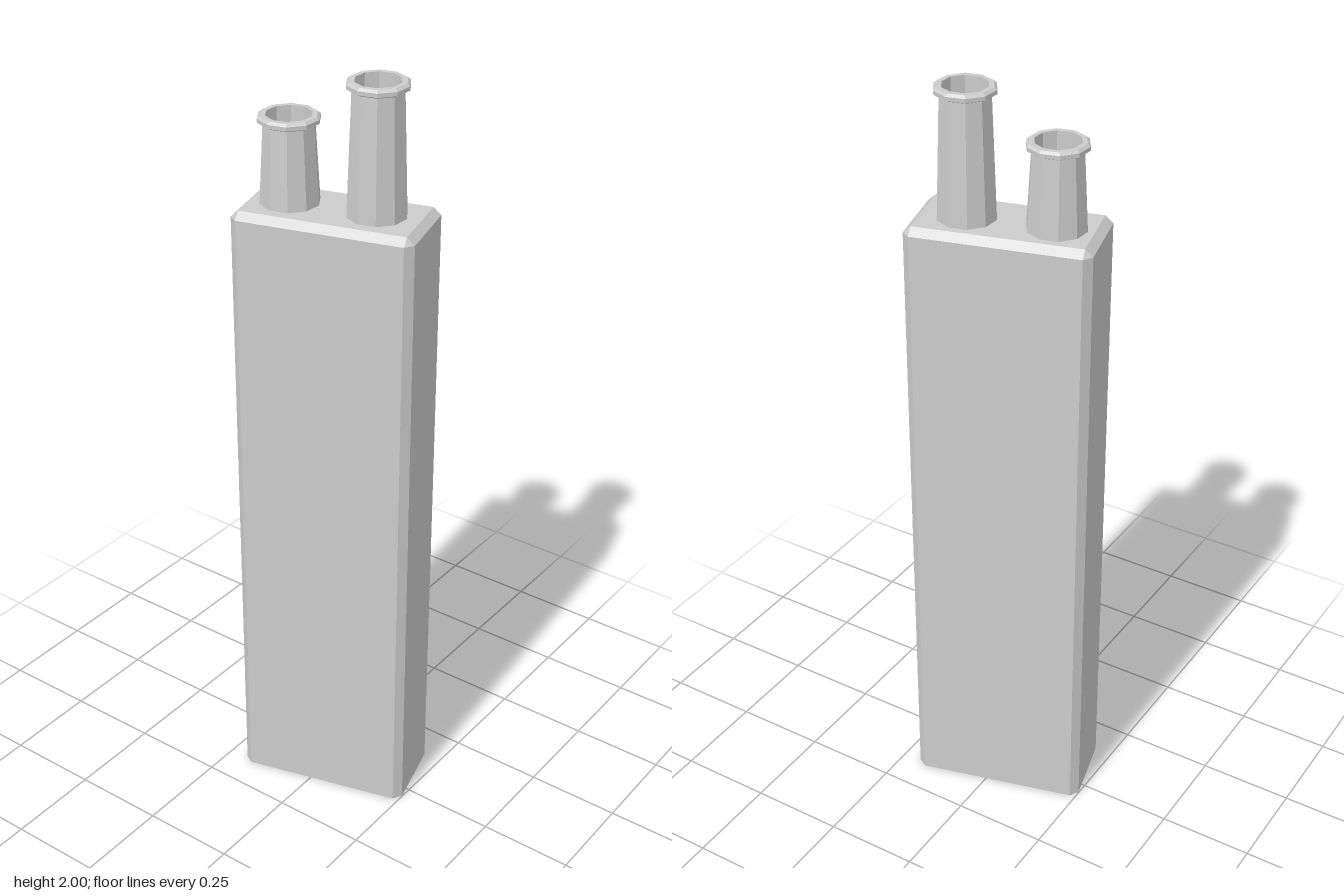
import * as THREE from 'three';

const material = new THREE.MeshStandardMaterial({
  color: 0xcccccc, flatShading: true, side: THREE.DoubleSide,
});

const HALF_W = 0.115, HALF_L = 0.232, BEVEL = 0.02;
const WALL_TOP = 1.652, ROOF = 1.67;

// Tall stack with chamfered corners, bevelled top edge and open bottom
function createStack() {
  const w = HALF_W, l = HALF_L, iw = w - BEVEL, il = l - BEVEL;
  const plan = [[-iw, l], [iw, l], [w, il], [w, -il], [iw, -l], [-iw, -l], [-w, -il], [-w, il]];
  const top = [[-iw, il], [iw, il], [iw, il], [iw, -il], [iw, -il], [-iw, -il], [-iw, -il], [-iw, il]];
  const rings = [
    plan.map(([x, z]) => [x, 0, z]),
    plan.map(([x, z]) => [x, WALL_TOP, z]),
    top.map(([x, z]) => [x, ROOF, z]),
  ];
  const positions = [];
  const triangle = (...corners) => corners.forEach((c) => positions.push(...c));
  for (let r = 0; r < 2; r++) {
    for (let i = 0; i < 8; i++) {
      const j = (i + 1) % 8;
      triangle(rings[r][i], rings[r][j], rings[r + 1][j]);
      // Where the upper edge shrinks to a point, one triangle closes the corner
      if (r === 0 || i % 2 === 0) triangle(rings[r][i], rings[r + 1][j], rings[r + 1][i]);
    }
  }
  const cap = rings[2];
  triangle(cap[0], cap[1], cap[3]);
  triangle(cap[0], cap[3], cap[5]);
  const geometry = new THREE.BufferGeometry();
  geometry.setAttribute('position', new THREE.Float32BufferAttribute(positions, 3));
  geometry.computeVertexNormals();
  const mesh = new THREE.Mesh(geometry, material);
  mesh.name = 'chimneyStack';
  return mesh;
}

// Ten-sided tapered pot with a raised rim and a hollow mouth
function createPot(name, z, height) {
  const profile = [
    [0.075, 0], [0.064, height - 0.022], [0.077, height - 0.016], [0.077, height - 0.006],
    [0.07, height], [0.057, height], [0.057, height - 0.1], [0, height - 0.1],
  ].map(([r, y]) => new THREE.Vector2(r, y));
  const mesh = new THREE.Mesh(new THREE.LatheGeometry(profile, 10), material);
  mesh.name = name;
  mesh.position.set(0.004, ROOF, z);
  return mesh;
}

export function createModel() {
  const model = new THREE.Group();
  model.name = 'chimney';
  const chimney = new THREE.Group();
  chimney.name = 'turnedChimney';
  chimney.rotation.y = Math.PI / 12;
  chimney.add(
    createStack(),
    createPot('tallPot', 0.102, 2 - ROOF),
    createPot('shortPot', -0.12, 1.89 - ROOF),
  );
  model.add(chimney);
  return model;
}
